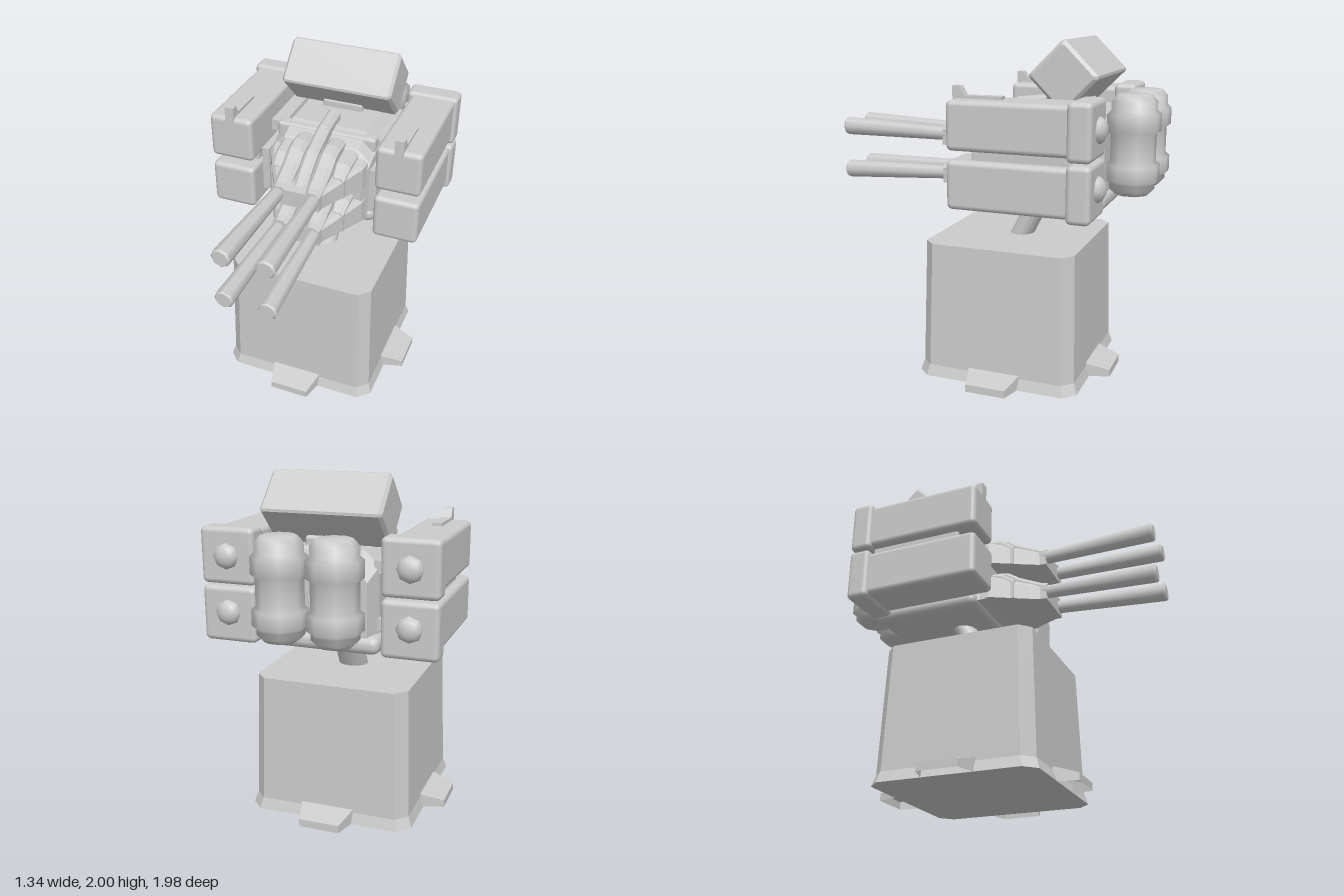
import * as THREE from 'three';
import { RoundedBoxGeometry } from 'three/addons/geometries/RoundedBoxGeometry.js';

const smooth = new THREE.MeshStandardMaterial({ color: 0xcccccc });
const flat = new THREE.MeshStandardMaterial({ color: 0xcccccc, flatShading: true });
const flatOpen = new THREE.MeshStandardMaterial({ color: 0xcccccc, flatShading: true, side: THREE.DoubleSide });

// Skin over rings of points; each ring is counter-clockwise seen from the last ring's end.
// Sides before firstSide are left open.
function loft(rings, firstSide = 0) {
  const pos = [];
  const tri = (a, b, c) => pos.push(...a, ...b, ...c);
  const n = rings[0].length;
  for (let r = 0; r < rings.length - 1; r++) {
    const a = rings[r], b = rings[r + 1];
    for (let i = firstSide; i < n; i++) {
      const j = (i + 1) % n;
      tri(a[i], a[j], b[j]);
      tri(a[i], b[j], b[i]);
    }
  }
  const first = rings[0], last = rings[rings.length - 1];
  for (let i = 1; i < n - 1; i++) {
    tri(first[0], first[i + 1], first[i]);
    tri(last[0], last[i], last[i + 1]);
  }
  const g = new THREE.BufferGeometry();
  g.setAttribute('position', new THREE.Float32BufferAttribute(pos, 3));
  g.computeVertexNormals();
  return g;
}

// Horizontal square ring with cut corners
function cutSquare(h, c, y) {
  const k = h - c;
  return [[h, -k], [k, -h], [-k, -h], [-h, -k], [-h, k], [-k, h], [k, h], [h, k]]
    .map(([x, z]) => [x, y, z]);
}

// Upright ring at depth z with its two top corners cut
function section(z, hw, y0, y1, cut = 0.02) {
  return [[-hw, y0, z], [hw, y0, z], [hw, y1 - cut, z], [hw - cut, y1, z], [-hw + cut, y1, z], [-hw, y1 - cut, z]];
}

// Ring across x: a square standing on a slightly blunted corner
function diamond(x, d) {
  const b = 0.008;
  return [[d, b], [b, d], [-b, d], [-d, b], [-d, -b], [-b, -d], [b, -d], [d, -b]].map(([y, z]) => [x, y, z]);
}

function add(parent, name, geometry, x = 0, y = 0, z = 0, material = smooth) {
  const m = new THREE.Mesh(geometry, material);
  m.name = name;
  m.position.set(x, y, z);
  parent.add(m);
  return m;
}

// Rounded box given by its limits on each axis
function block(parent, name, [x0, x1], [y0, y1], [z0, z1], r = 0.03) {
  return add(parent, name, new RoundedBoxGeometry(x1 - x0, y1 - y0, z1 - z0, 2, r),
    (x0 + x1) / 2, (y0 + y1) / 2, (z0 + z1) / 2);
}

// Rod from a to b
function rod(parent, name, a, b, ra, rb, sides = 12) {
  const p = new THREE.Vector3(...a), q = new THREE.Vector3(...b);
  const m = add(parent, name, new THREE.CylinderGeometry(rb, ra, p.distanceTo(q), sides));
  m.position.copy(p).add(q).multiplyScalar(0.5);
  m.quaternion.setFromUnitVectors(new THREE.Vector3(0, 1, 0), q.sub(p).normalize());
  return m;
}

function createBase() {
  const base = new THREE.Group();
  base.name = 'base';
  base.position.z = -0.138;
  add(base, 'pedestal', loft([
    cutSquare(0.495, 0.07, 0), cutSquare(0.475, 0.065, 0.065), cutSquare(0.455, 0.065, 0.82),
  ]), 0, 0, 0, flat);
  // One hollow foot on each side, open underneath
  const foot = loft([section(0.45, 0.165, 0, 0.09, 0.001), section(0.613, 0.12, 0, 0.045, 0.001)], 1);
  for (let i = 0; i < 4; i++) add(base, 'foot', foot, 0, 0, 0, flatOpen).rotation.y = i * Math.PI / 2;
  return base;
}

function createBody() {
  const body = new THREE.Group();
  body.name = 'body';
  // Floor tray with rounded underside
  block(body, 'floorTray', [-0.345, 0.345], [1.07, 1.17], [-0.74, -0.062], 0.045);
  // Faceted hull, rounded off at the top
  add(body, 'hull', loft([
    section(-0.72, 0.28, 1.12, 1.54, 0.08), section(-0.62, 0.315, 1.1, 1.61, 0.08),
    section(-0.22, 0.315, 1.1, 1.61, 0.08), section(-0.08, 0.31, 1.1, 1.56, 0.08), section(0, 0.28, 1.12, 1.48, 0.08),
  ]), 0, 0, 0, flat);
  // Arms and plates carrying the side pods
  for (const s of [-1, 1]) {
    for (const y of [1.22, 1.53]) add(body, 'podArm', new THREE.BoxGeometry(0.1, 0.07, 0.42), s * 0.34, y, -0.43);
    add(body, 'sidePlate', new THREE.BoxGeometry(0.045, 0.285, 0.5), s * 0.343, 1.322, -0.29);
  }
  // Cross bar and spine over the guns
  block(body, 'crossBar', [-0.31, 0.31], [1.51, 1.6], [-0.235, -0.15], 0.02);
  add(body, 'spine', loft([
    section(-0.3, 0.04, 1.4, 1.67), section(-0.12, 0.04, 1.4, 1.65), section(0.07, 0.04, 1.36, 1.585),
    section(0.2, 0.04, 1.36, 1.5), section(0.27, 0.035, 1.36, 1.46),
  ]), 0, 0, 0, flat);
  // Mount under the top housing, and rear rack for the canisters
  block(body, 'topMount', [-0.13, 0.13], [1.5, 1.66], [-0.57, -0.43], 0.02);
  block(body, 'rearRack', [-0.13, 0.13], [1.2, 1.6], [-0.78, -0.62], 0.02);
  return body;
}

function createGuns() {
  const guns = new THREE.Group();
  guns.name = 'guns';
  for (const [y, muzzleY, rootY] of [[1.355, 1.435, 1.418], [1.12, 1.16, 1.18]]) {
    // Tapered mantle of one tier
    add(guns, 'mantle', loft([
      section(-0.06, 0.3, y, y + 0.16), section(0, 0.29, y, y + 0.15),
      section(0.22, 0.175, y, y + 0.11), section(0.32, 0.13, y, y + 0.1),
    ]), 0, 0, 0, flat);
    for (const s of [-1, 1]) {
      // Sloping breech cover and barrel that widens to the muzzle
      add(guns, 'breechCover', loft([
        section(-0.1, 0.05, y, y + 0.245, 0.025), section(0, 0.052, y, y + 0.25, 0.025),
        section(0.07, 0.052, y, y + 0.232, 0.025), section(0.14, 0.052, y, y + 0.185, 0.025),
        section(0.28, 0.05, y, y + 0.122, 0.025), section(0.32, 0.046, y, y + 0.115, 0.025),
      ]), s * 0.098, 0, 0, flat);
      add(guns, 'sideStep', loft([
        section(-0.08, 0.055, y, y + 0.2), section(0.06, 0.05, y, y + 0.18), section(0.14, 0.04, y, y + 0.13),
      ]), s * 0.185, 0, 0, flat);
      rod(guns, 'barrel', [s * 0.108, rootY, 0.28], [s * 0.125, muzzleY, 0.98], 0.04, 0.056, 8);
      rod(guns, 'muzzleTip', [s * 0.125, muzzleY, 0.979], [s * 0.125, muzzleY, 0.99], 0.056, 0.046, 8);
    }
  }
  return guns;
}

function createPods(s) {
  const pods = new THREE.Group();
  pods.name = s > 0 ? 'leftPods' : 'rightPods';
  const span = (a, b) => s > 0 ? [a, b] : [-b, -a];
  const tiers = [
    { body: [1.415, 1.69], cap: [1.395, 1.71], nozzle: 1.553 },
    { body: [1.09, 1.365], cap: [1.07, 1.385], nozzle: 1.24 },
  ];
  const dome = new THREE.SphereGeometry(0.075, 8, 4, 0, Math.PI * 2, 0, Math.PI / 2);
  for (const t of tiers) {
    block(pods, 'podBody', span(0.38, 0.652), t.body, [-0.65, 0.07], 0.03);
    block(pods, 'podCap', span(0.355, 0.672), t.cap, [-0.745, -0.61], 0.03);
    const nozzle = add(pods, 'nozzle', dome, s * 0.515, t.nozzle, -0.738);
    nozzle.rotation.x = -Math.PI / 2;
    nozzle.scale.y = 0.72;
  }
  block(pods, 'podSpacer', span(0.4, 0.6), [1.34, 1.43], [-0.62, -0.06], 0.01);
  // Raised sight rail
  const shape = new THREE.Shape([
    [0.07, 1.66], [0.07, 1.757], [0.03, 1.757], [0, 1.707], [-0.215, 1.707], [-0.215, 1.66],
  ].map(([z, y]) => new THREE.Vector2(z, y)));
  const rail = new THREE.ExtrudeGeometry(shape, { depth: 0.054, bevelEnabled: false });
  rail.rotateY(-Math.PI / 2);
  add(pods, 'sightRail', rail, s * 0.517 + 0.027, 0, 0, flat);
  return pods;
}

function createCanisters() {
  const canisters = new THREE.Group();
  canisters.name = 'canisters';
  const profile = [
    [0, 1.15], [0.095, 1.15], [0.128, 1.18], [0.128, 1.215], [0.152, 1.23], [0.152, 1.32], [0.128, 1.338],
    [0.128, 1.487], [0.152, 1.505], [0.152, 1.6], [0.128, 1.62], [0.128, 1.67], [0.095, 1.708], [0, 1.71],
  ].map(([r, y]) => new THREE.Vector2(r, y));
  const g = new THREE.LatheGeometry(profile, 8, Math.PI / 8);
  for (const s of [-1, 1]) add(canisters, 'canister', g, s * 0.153, 0, -0.85);
  return canisters;
}

export function createModel() {
  const model = new THREE.Group();
  model.name = 'gunTurret';
  model.add(createBase());
  // Leaning post
  const post = rod(model, 'post', [0, 0.78, -0.13], [0, 1.2, -0.34], 0.09, 0.09, 12);
  post.scale.z = 0.73;
  model.add(createBody(), createGuns(), createPods(1), createPods(-1), createCanisters());
  // Top housing, standing on its edge with bevelled ends
  add(model, 'topHousing', loft([
    diamond(-0.342, 0.17), diamond(-0.325, 0.196), diamond(0.325, 0.196), diamond(0.342, 0.17),
  ]), 0, 1.804, -0.49, flat);
  return model;
}
